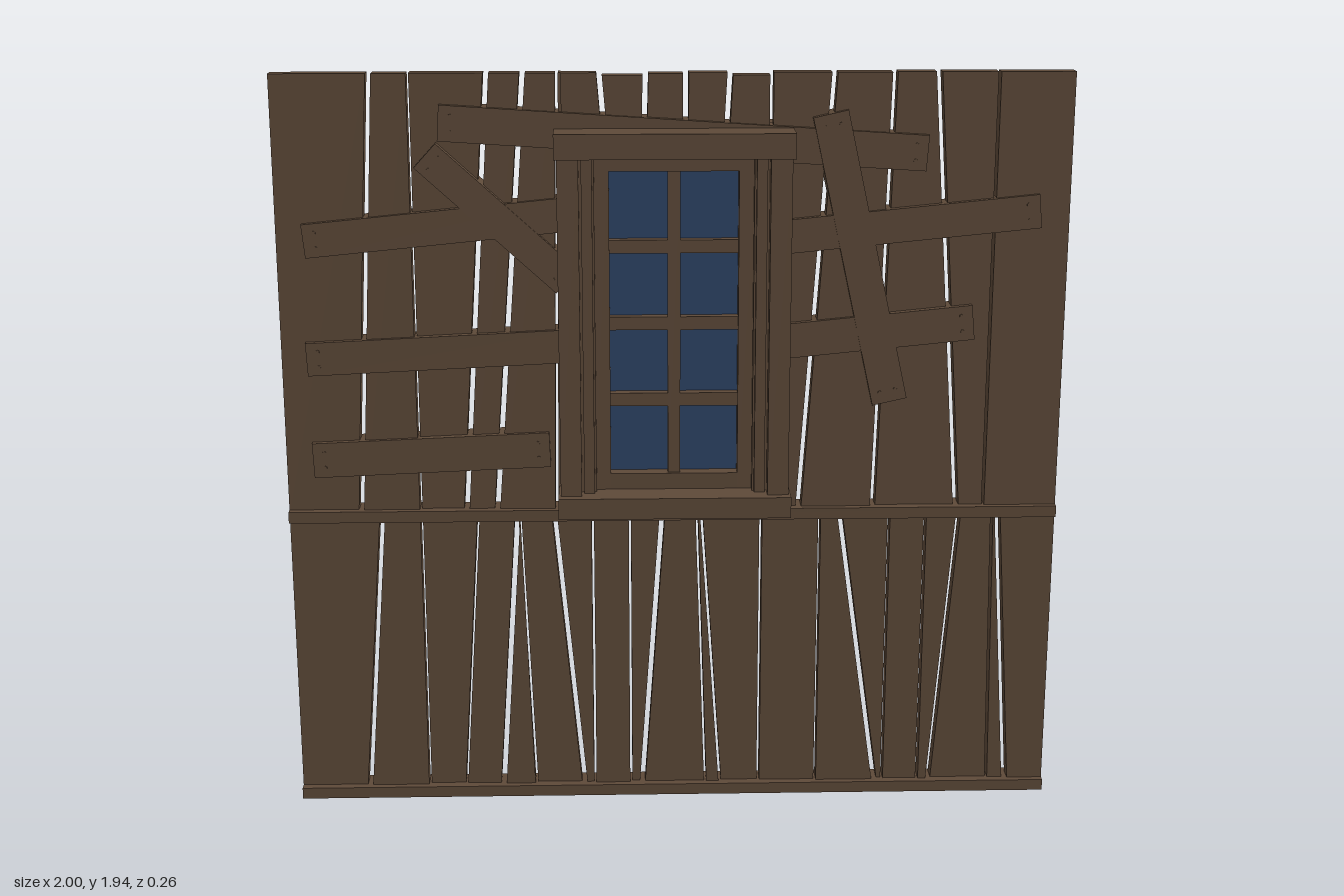
import * as THREE from 'three';

export function createModel() {
  const model = new THREE.Group();
  model.name = 'boardedWallWithWindow';
  const wood = new THREE.MeshStandardMaterial({ color: 0x5e4a39 });
  wood.name = 'weatheredWood';
  const glass = new THREE.MeshStandardMaterial({ color: 0x2d4467 });
  glass.name = 'blueGlass';

  const add = (name, geometry, material = wood, parent = model) => {
    const mesh = new THREE.Mesh(geometry, material);
    mesh.name = name;
    parent.add(mesh);
    return mesh;
  };
  // Box given by its limits on each axis
  const box = (name, x0, x1, y0, y1, z0, z1, parent = model, material = wood) => {
    const mesh = add(name, new THREE.BoxGeometry(x1 - x0, y1 - y0, z1 - z0), material, parent);
    mesh.position.set((x0 + x1) / 2, (y0 + y1) / 2, (z0 + z1) / 2);
    return mesh;
  };

  // Row of tapered planks between leaning gaps: [x at bottom, x at top, half gap]
  function plankRow(name, gaps, y0, y1, wobble = 0) {
    const row = new THREE.Group();
    row.name = name;
    model.add(row);
    for (let i = 0; i < gaps.length - 1; i++) {
      const [lb, lt, lg] = gaps[i];
      const [rb, rt, rg] = gaps[i + 1];
      const top = y1 - wobble * ((i * 2) % 3);
      const shape = new THREE.Shape([
        new THREE.Vector2(lb + lg, y0), new THREE.Vector2(rb - rg, y0),
        new THREE.Vector2(rt - rg, top), new THREE.Vector2(lt + lg, top),
      ]);
      const plank = add('plank', new THREE.ExtrudeGeometry(shape, { depth: 0.042, bevelEnabled: false }), wood, row);
      plank.position.z = -0.025 + [0, 0.005, -0.004][i % 3];
    }
  }
  const w = 0.007, n = 0.003;

  plankRow('lowerPlanks', [
    [-1, -1, 0], [-0.82, -0.76, w], [-0.658, -0.658, n], [-0.56, -0.51, n], [-0.46, -0.408, w],
    [-0.37, -0.402, w / 2], [-0.24, -0.312, w], [-0.212, -0.212, n], [-0.115, -0.115, n],
    [-0.085, -0.03, w], [0.085, 0.06, n], [0.125, 0.072, w / 2], [0.228, 0.228, w / 2], [0.382, 0.382, n],
    [0.545, 0.435, w], [0.565, 0.565, n], [0.66, 0.66, n], [0.69, 0.748, w],
    [0.85, 0.836, n], [0.9, 0.85, w], [1, 1, 0],
  ], 0.02, 0.79);
  plankRow('upperLeftPlanks', [
    [-1, -1, 0], [-0.813, -0.754, w], [-0.658, -0.658, n], [-0.54, -0.465, w],
    [-0.46, -0.375, w], [-0.305, -0.29, w / 2], [-0.22, -0.28, 0],
  ], 0.8, 1.936);
  plankRow('planksAboveWindow', [
    [-0.28, -0.28, 0], [-0.17, -0.185, w], [-0.075, -0.07, w], [0.03, 0.03, w],
    [0.13, 0.14, w], [0.242, 0.242, w / 2],
  ], 1.75, 1.936, 0.003);
  plankRow('upperRightPlanks', [
    [0.25, 0.245, n], [0.325, 0.4, w], [0.52, 0.55, w], [0.74, 0.66, w],
    [0.81, 0.81, n], [1, 1, 0],
  ], 0.8, 1.936);

  // Horizontal rails
  box('bottomRail', -1, 1, 0, 0.03, -0.04, 0.04);
  box('middleRail', -1, 1, 0.78, 0.81, -0.04, 0.04);

  // Nailed boards running through both faces: [x0, y0, x1, y1, width, depth]
  const boards = [
    [-0.93, 1.52, -0.25, 1.587, 0.086, 0.074],
    [0.25, 1.522, 0.925, 1.588, 0.086, 0.074],
    [-0.935, 1.215, -0.25, 1.247, 0.086, 0.074],
    [-0.93, 0.947, -0.32, 0.972, 0.092, 0.074],
    [-0.585, 1.815, 0.635, 1.735, 0.09, 0.07],
    [-0.62, 1.735, -0.27, 1.415, 0.082, 0.08],
    [0.39, 1.835, 0.555, 1.095, 0.09, 0.08],
    [0.25, 1.252, 0.765, 1.302, 0.09, 0.074],
  ];
  for (const [x0, y0, x1, y1, width, depth] of boards) {
    const length = Math.hypot(x1 - x0, y1 - y0);
    const board = new THREE.Group();
    board.name = 'nailedBoard';
    board.position.set((x0 + x1) / 2, (y0 + y1) / 2, -0.004);
    board.rotation.z = Math.atan2(y1 - y0, x1 - x0);
    add('board', new THREE.BoxGeometry(length, width, depth), wood, board);
    for (const side of [-1, 1]) {
      for (const offset of [-0.02, 0.02]) {
        const nail = add('nail', new THREE.CylinderGeometry(0.005, 0.005, depth + 0.005, 6), wood, board);
        nail.rotation.x = Math.PI / 2;
        nail.position.set(side * (length / 2 - 0.03), offset, 0);
      }
    }
    model.add(board);
  }

  // Window casing, the same on both faces
  const win = new THREE.Group();
  win.name = 'window';
  model.add(win);
  box('lintel', -0.298, 0.298, 1.737, 1.8, -0.13, 0.13, win);
  box('sill', -0.298, 0.298, 0.813, 0.868, -0.13, 0.13, win);
  for (const s of [-1, 1]) {
    const post = (name, a, b, z0, z1) =>
      box(name, Math.min(s * a, s * b), Math.max(s * a, s * b), 0.86, 1.74, z0, z1, win);
    post('jambCore', 0.2, 0.28, -0.065, 0.065);
    post('innerJamb', 0.205, 0.232, -0.08, 0.08);
    post('frontJambTrim', 0.238, 0.292, 0.062, 0.105);
    post('backJambTrim', 0.238, 0.292, -0.105, -0.062);
    post('sashStile', 0.163, 0.205, -0.045, 0.045);
  }
  box('sashTopRail', -0.2, 0.2, 1.695, 1.74, -0.045, 0.045, win);
  box('sashBottomRail', -0.2, 0.2, 0.86, 0.91, -0.045, 0.045, win);
  box('mullion', -0.016, 0.016, 0.9, 1.7, -0.035, 0.035, win);
  for (const y of [1.105, 1.305, 1.503]) {
    box('glazingBar', -0.17, 0.17, y - 0.017, y + 0.017, -0.034, 0.034, win);
  }
  box('glassPane', -0.17, 0.17, 0.9, 1.7, -0.008, 0.008, win, glass);

  return model;
}
